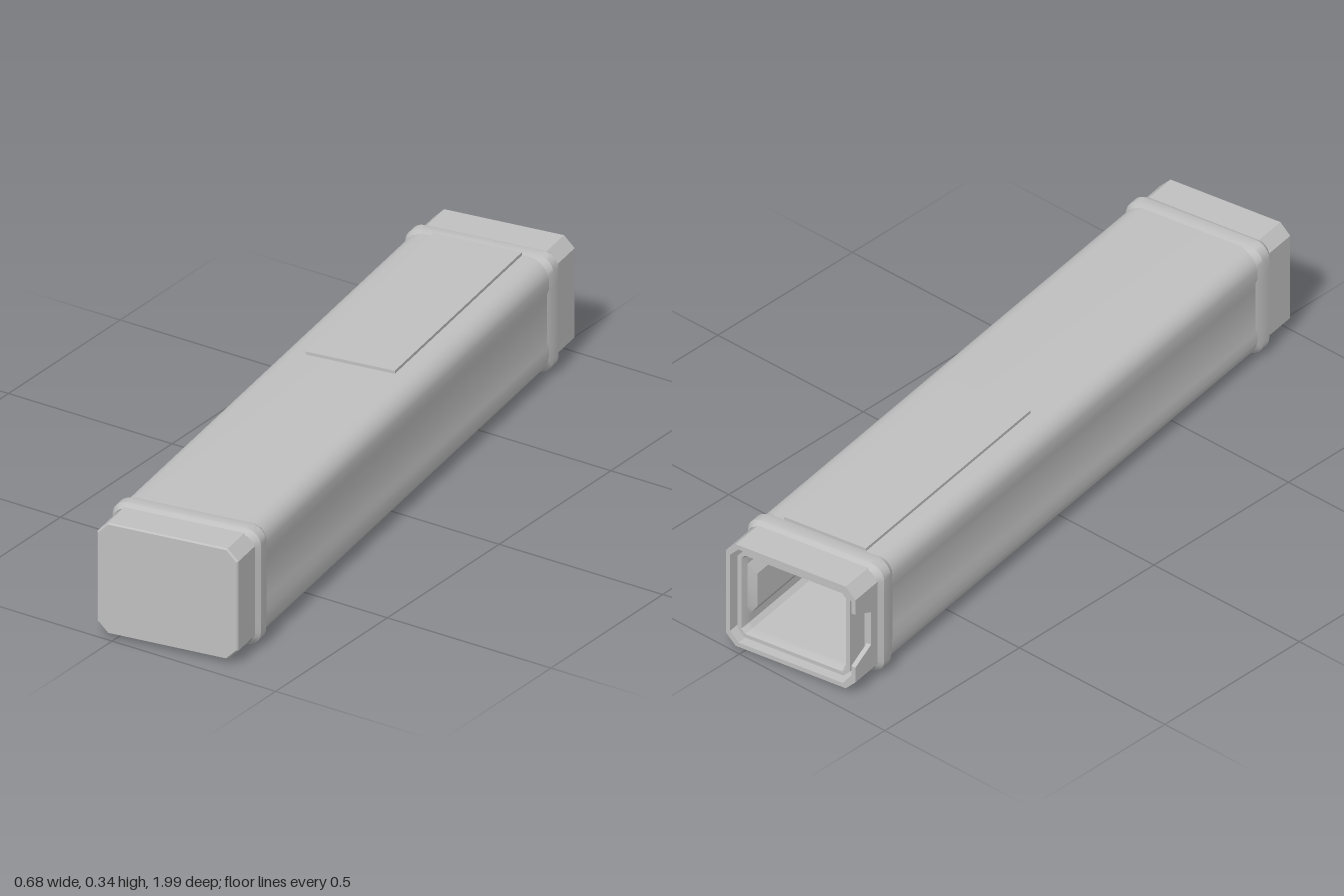
import * as THREE from 'three';
import { toCreasedNormals } from 'three/addons/utils/BufferGeometryUtils.js';

const MID = 0.1685; // height of the long axis

// Cross-section of a box with rounded or chamfered corners and a shallow side channel.
function section({ w, h, r, z, round = false, groove = 0, notch = 0 }) {
  const pts = [];
  const side = (s) => {
    for (const [y, k] of [[-0.081, 0], [-0.05, 1], [0.05, 1], [0.081, 0]]) {
      const cut = s < 0 && k ? notch : 0; // finger notch only on the -x wall
      pts.push([s * (w - groove * k), s * y, z + cut]);
    }
  };
  const corner = (sx, sy, start) => {
    for (let i = 0; i <= 6; i++) {
      const t = i / 6;
      const a = start + t * Math.PI / 2;
      let cx = Math.cos(a), cy = Math.sin(a);
      if (!round) {
        cx = Math.cos(start) * (1 - t) - Math.sin(start) * t;
        cy = Math.sin(start) * (1 - t) + Math.cos(start) * t;
      }
      pts.push([sx * (w - r) + r * cx, sy * (h - r) + r * cy, z]);
    }
  };
  side(1);
  corner(1, 1, 0);
  corner(-1, 1, Math.PI / 2);
  side(-1);
  corner(-1, -1, Math.PI);
  corner(1, -1, Math.PI * 1.5);
  return pts;
}

// Skin a run of sections, optionally closing the first or last one.
function loft(stations, { capStart = false, capEnd = false, crease = 0.5 } = {}) {
  const rings = stations.map(section);
  const n = rings[0].length;
  const pos = rings.flat(2);
  const idx = [];
  for (let i = 0; i < rings.length - 1; i++) {
    for (let j = 0; j < n; j++) {
      const k = (j + 1) % n;
      const a = i * n + j, b = i * n + k, c = b + n, d = a + n;
      idx.push(a, b, c, a, c, d);
    }
  }
  const close = (i, flip) => {
    const centre = pos.length / 3;
    pos.push(0, 0, stations[i].z);
    for (let j = 0; j < n; j++) {
      const a = i * n + j, b = i * n + (j + 1) % n;
      idx.push(centre, flip ? b : a, flip ? a : b);
    }
  };
  if (capStart) close(0, true);
  if (capEnd) close(rings.length - 1, false);
  const g = new THREE.BufferGeometry();
  g.setAttribute('position', new THREE.Float32BufferAttribute(pos, 3));
  g.setIndex(idx);
  return toCreasedNormals(g, crease);
}

export function createModel() {
  const model = new THREE.Group();
  const casing = new THREE.Group();
  casing.name = 'casing';
  casing.position.y = MID;
  casing.rotation.y = 0.15;
  model.add(casing);

  const grey = new THREE.MeshStandardMaterial({ color: 0xbfbfbf });
  grey.name = 'grey';
  const add = (name, geometry) => {
    const m = new THREE.Mesh(geometry, grey);
    m.name = name;
    casing.add(m);
    return m;
  };

  // Long body with soft corners and a shallow channel on each side
  const tube = { w: 0.202, h: 0.16, r: 0.05, round: true, groove: 0.006 };
  add('body', loft([{ ...tube, z: -0.84 }, { ...tube, z: 0.84 }]));

  // Raised collars near both ends
  for (const s of [-1, 1]) {
    const profile = [
      { w: 0.2, h: 0.157, r: 0.045, z: 0.815 },
      { w: 0.208, h: 0.163, r: 0.04, z: 0.835 },
      { w: 0.208, h: 0.163, r: 0.04, z: 0.865 },
      { w: 0.196, h: 0.154, r: 0.034, z: 0.882 },
    ].map((p) => ({ ...p, round: true, z: p.z * s }));
    if (s < 0) profile.reverse();
    add(s < 0 ? 'rearCollar' : 'frontCollar', loft(profile));
  }

  // Solid front cap with chamfered corners
  add('frontCap', loft([
    { w: 0.198, h: 0.156, r: 0.03, z: 0.86 },
    { w: 0.198, h: 0.156, r: 0.03, z: 0.974 },
    { w: 0.194, h: 0.153, r: 0.029, z: 0.979 },
  ], { capEnd: true }));

  // Hollow rear end: cavity floor, channelled walls, inner frame, gap, outer rim
  const hole = { w: 0.155, h: 0.115, r: 0.012 };
  const frame = { w: 0.172, h: 0.131, r: 0.02 };
  add('rearCavity', loft([
    { ...hole, groove: 0.02, z: -0.66 },
    { ...hole, groove: 0.02, z: -0.93 },
    { ...hole, z: -0.945 },
    { ...hole, w: 0.16, h: 0.12, z: -0.965 },
    { ...frame, z: -0.965 },
    { ...frame, z: -0.9 },
  ], { capStart: true }));
  add('rearRim', loft([
    { ...frame, z: -0.9 },
    { w: 0.185, h: 0.143, r: 0.026, z: -0.9 },
    { w: 0.185, h: 0.143, r: 0.026, z: -0.979, notch: 0.07 },
    { w: 0.198, h: 0.156, r: 0.03, z: -0.979, notch: 0.07 },
    { w: 0.198, h: 0.156, r: 0.03, z: -0.86 },
  ]));

  // Thin raised panels on the top and underside of the rear half
  for (const s of [-1, 1]) {
    const panel = add(s > 0 ? 'topPanel' : 'bottomPanel', new THREE.BoxGeometry(0.25, 0.0095, 0.74));
    panel.position.set(0, s * 0.16375, -0.455);
  }
  return model;
}
